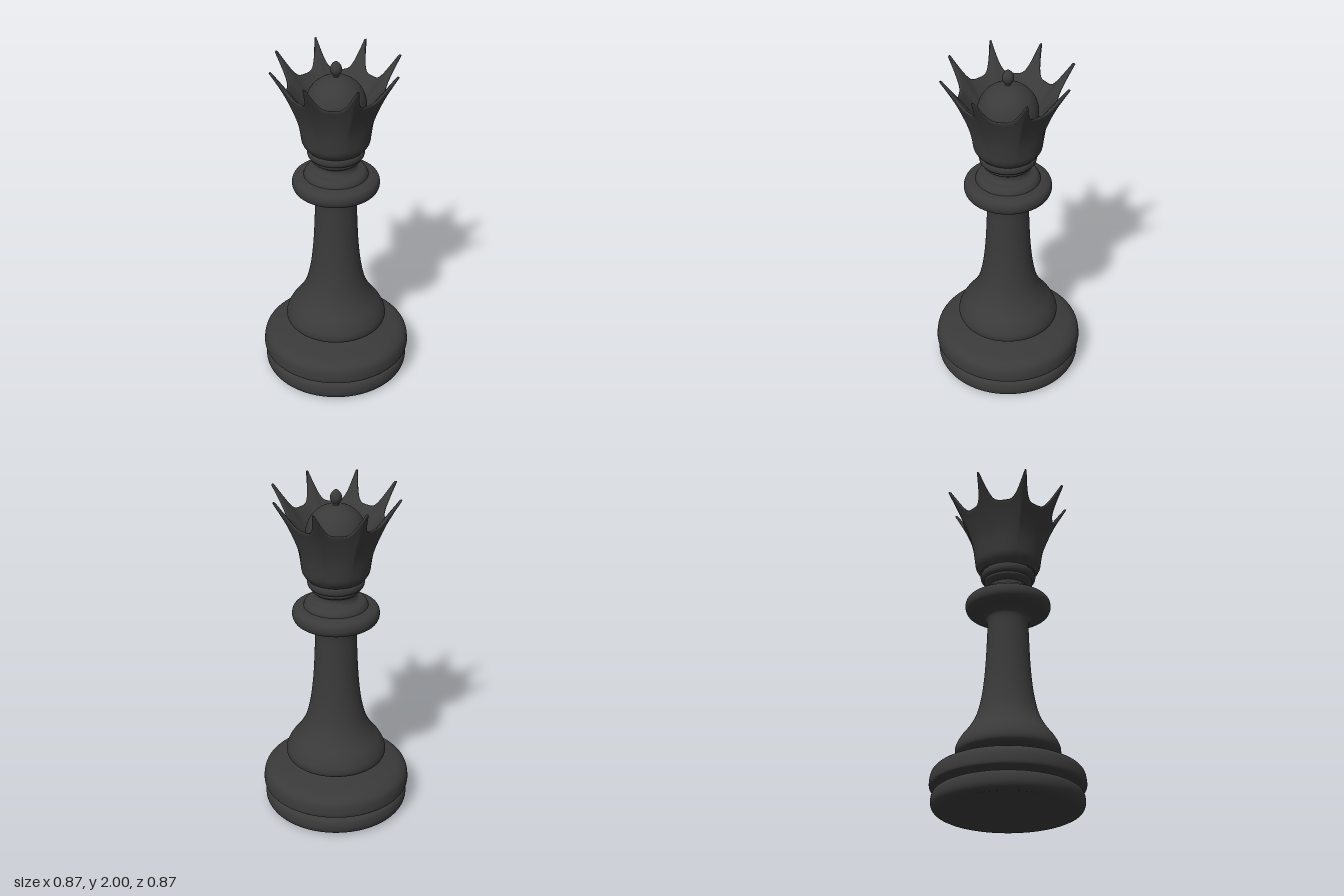
import * as THREE from 'three';

const material = new THREE.MeshStandardMaterial({ color: 0x3a3a3a });

// Smooth curve through [radius, height] pairs
const curve = (pairs) => new THREE.CatmullRomCurve3(
  pairs.map(([r, y]) => new THREE.Vector3(r, y, 0)), false, 'centripetal');

function turned(name, pairs, samples = 40) {
  const points = curve(pairs).getPoints(samples).map((p) => new THREE.Vector2(Math.max(p.x, 0), p.y));
  const mesh = new THREE.Mesh(new THREE.LatheGeometry(points, 96), material);
  mesh.name = name;
  return mesh;
}

// Crown: a flared cup whose rim rises to eight sharp points
function crown() {
  const POINTS = 8, COLS = 32 * POINTS, ROWS = 18;
  const FIRST_TIP = 27.5 / 45;
  const outer = curve([[0.16, 1.475], [0.188, 1.51], [0.2, 1.57], [0.217, 1.65],
    [0.25, 1.74], [0.29, 1.83], [0.328, 1.9], [0.378, 1.985]]).getPoints(200);
  const radiusAt = (y) => {
    const i = outer.findIndex((p) => p.y >= y);
    if (i < 0) return outer[outer.length - 1].x;
    if (i === 0) return outer[0].x;
    const a = outer[i - 1], b = outer[i];
    return THREE.MathUtils.lerp(a.x, b.x, (y - a.y) / (b.y - a.y));
  };
  const positions = [], index = [];
  let loop = 0;
  for (let c = 0; c < COLS; c++) {
    const angle = (c / COLS) * Math.PI * 2;
    const u = (((c / COLS) * POINTS - FIRST_TIP) % 1 + 1) % 1;
    const t = Math.min(1, Math.abs(2 * u - 1) * 1.03); // 0 in a valley, 1 at a tip
    const rim = 1.825 + 0.155 * t ** 4;
    const section = [];
    // outer wall, slightly fluted between the points
    for (let j = 0; j <= ROWS; j++) {
      const y = THREE.MathUtils.lerp(1.475, rim, j / ROWS);
      const flute = 0.06 * THREE.MathUtils.smoothstep(y, 1.5, 1.8) * (1 - t * t);
      section.push([radiusAt(y) * (1 - flute), y]);
    }
    // rounded lip, then the inner wall down to the dome
    const edge = section[ROWS][0];
    section.push([edge - 0.003, rim + 0.005], [edge - 0.009, rim + 0.006]);
    for (let j = 0; j <= ROWS; j++) {
      const v = 1 - j / ROWS;
      section.push([THREE.MathUtils.lerp(0.155, edge - 0.016, v), THREE.MathUtils.lerp(1.7, rim, v)]);
    }
    loop = section.length;
    for (const [r, y] of section) positions.push(r * Math.cos(angle), y, r * Math.sin(angle));
  }
  for (let c = 0; c < COLS; c++) {
    for (let j = 0; j < loop - 1; j++) {
      const a = c * loop + j, b = ((c + 1) % COLS) * loop + j;
      index.push(a, a + 1, b, a + 1, b + 1, b);
    }
  }
  const geometry = new THREE.BufferGeometry();
  geometry.setAttribute('position', new THREE.Float32BufferAttribute(positions, 3));
  geometry.setIndex(index);
  geometry.computeVertexNormals();
  const mesh = new THREE.Mesh(geometry, material);
  mesh.name = 'crown';
  return mesh;
}

export function createModel() {
  const model = new THREE.Group();
  model.name = 'chessQueen';

  // Underside disc and the two stacked rings of the base
  const underside = new THREE.Mesh(new THREE.CircleGeometry(0.39, 96).rotateX(Math.PI / 2), material);
  underside.name = 'underside';
  underside.position.y = 0.001;
  model.add(underside);
  model.add(turned('foot', [[0.385, 0], [0.41, 0.012], [0.424, 0.035], [0.426, 0.07],
    [0.415, 0.1], [0.39, 0.112], [0.34, 0.115], [0.33, 0.125]]));
  model.add(turned('plinth', [[0.33, 0.122], [0.345, 0.13], [0.42, 0.131], [0.433, 0.138],
    [0.434, 0.18], [0.422, 0.22], [0.39, 0.247], [0.33, 0.262], [0.25, 0.275],
    [0.218, 0.285], [0.212, 0.3]], 60));

  // Bell-shaped stem
  model.add(turned('stem', [[0.212, 0.295], [0.225, 0.303], [0.27, 0.312], [0.293, 0.332],
    [0.295, 0.365], [0.27, 0.42], [0.222, 0.485], [0.182, 0.56], [0.155, 0.66], [0.136, 0.8],
    [0.124, 1.0], [0.122, 1.14], [0.13, 1.172], [0.155, 1.192]], 90));

  // Collar and the stepped neck below the crown
  model.add(turned('collar', [[0.15, 1.19], [0.2, 1.203], [0.238, 1.22], [0.25, 1.25],
    [0.243, 1.284], [0.22, 1.3], [0.182, 1.307]]));
  model.add(turned('upperCollar', [[0.185, 1.304], [0.18, 1.32], [0.165, 1.338],
    [0.125, 1.35], [0.113, 1.37], [0.113, 1.388]]));
  model.add(turned('neckRing', [[0.112, 1.385], [0.13, 1.396], [0.143, 1.41], [0.142, 1.425]], 16));
  model.add(turned('neckBand', [[0.14, 1.42], [0.155, 1.428], [0.162, 1.445], [0.16, 1.465],
    [0.152, 1.475], [0.16, 1.485], [0.172, 1.495]], 30));

  model.add(crown());

  // Dome inside the crown with its drop-shaped finial
  const dome = new THREE.Mesh(
    new THREE.SphereGeometry(0.17, 64, 24, 0, Math.PI * 2, 0, Math.PI * 0.55), material);
  dome.name = 'dome';
  dome.position.y = 1.74;
  model.add(dome);
  model.add(turned('finial', [[0.016, 1.9], [0.016, 1.915], [0.028, 1.932], [0.033, 1.95],
    [0.029, 1.97], [0.015, 1.99], [0, 2.0]], 30));

  return model;
}
